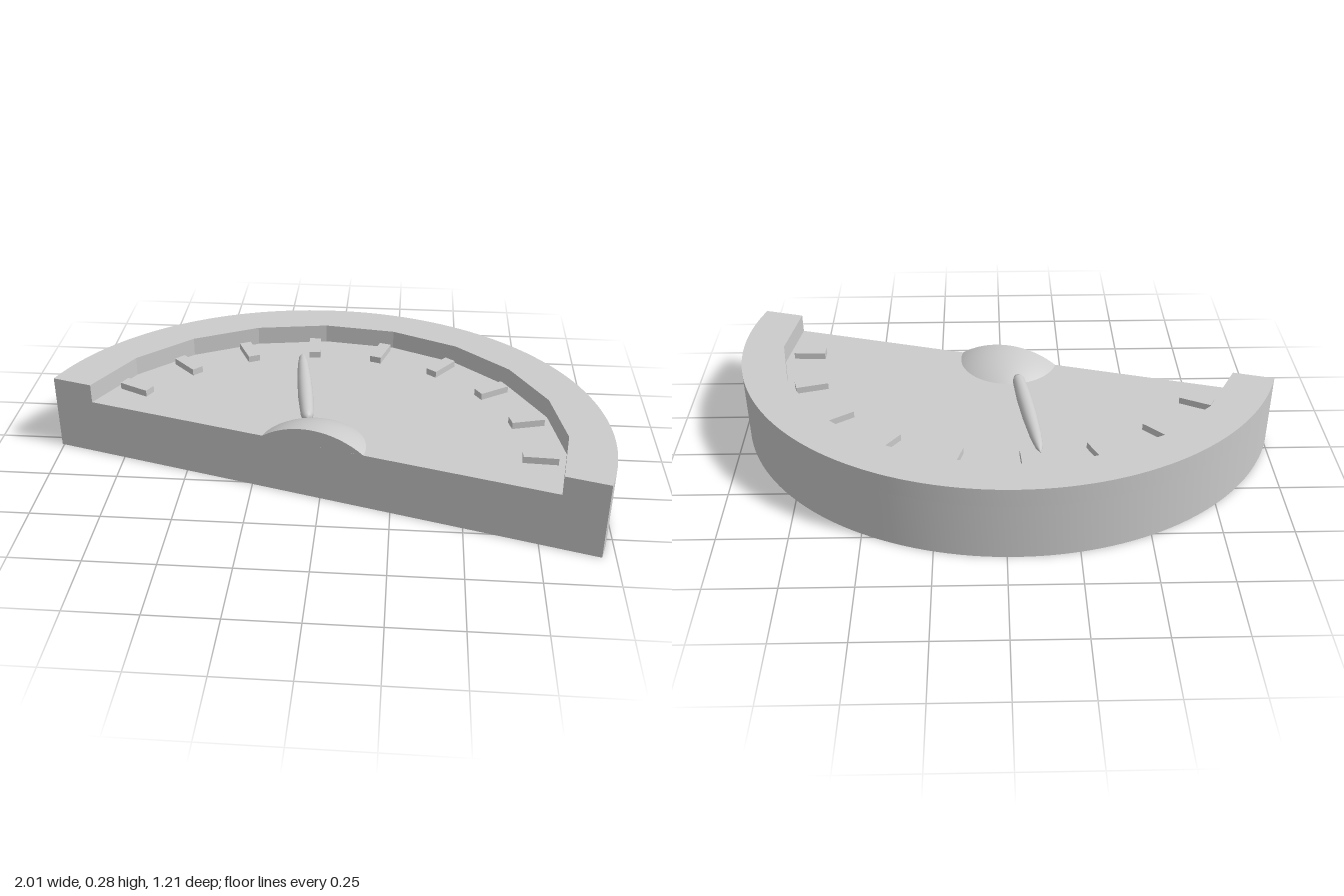
import * as THREE from 'three';
import { toCreasedNormals } from 'three/addons/utils/BufferGeometryUtils.js';

const FLOOR = 0.214, TOP = 0.285;
const CX = -0.027, CZ = 0.324;          // middle of the straight side
const RX = 1.027, RZ = 0.936;           // the half disc is slightly squashed
const START = -0.302;                   // tilt of the straight side, on the unit circle
const INNER = 0.85;

export function createModel() {
  const group = new THREE.Group();
  const material = new THREE.MeshStandardMaterial({ color: 0xcccccc });

  const add = (name, geometry, parent = group) => {
    const mesh = new THREE.Mesh(geometry, material);
    mesh.name = name;
    parent.add(mesh);
    return mesh;
  };

  // points along the half ellipse, from the right end to the left end
  const arc = (radius, steps) => Array.from({ length: steps + 1 }, (_, i) => {
    const a = START + Math.PI * i / steps;
    return new THREE.Vector2(CX + RX * radius * Math.cos(a), -CZ + RZ * radius * Math.sin(a));
  });

  const slab = (points, y0, y1) => {
    const g = new THREE.ExtrudeGeometry(new THREE.Shape(points), { depth: y1 - y0, bevelEnabled: false });
    g.rotateX(-Math.PI / 2).translate(0, y0, 0);
    return toCreasedNormals(g, 0.2);
  };

  // body, and raised rim with a ten-sided inner wall
  add('base', slab(arc(1, 80), 0, FLOOR));
  add('rim', slab([...arc(1, 80), ...arc(INNER, 10).reverse()], FLOOR, TOP));

  // half dome at the pivot, closed along the straight side
  const r = 0.187, h = 0.06, R = (r * r + h * h) / (2 * h);
  const theta = Math.asin(r / R);
  const hub = new THREE.Group();
  hub.name = 'hub';
  hub.position.set(CX, FLOOR - (R - h), CZ);
  hub.rotation.y = -0.276;
  group.add(hub);
  add('hubDome', new THREE.SphereGeometry(R, 32, 10, Math.PI, Math.PI, 0, theta), hub);
  const face = new THREE.Shape();
  face.absarc(0, 0, R, Math.PI / 2 - theta, Math.PI / 2 + theta, false);
  add('hubCutFace', new THREE.ShapeGeometry(face, 24), hub);

  // spindle-shaped needle lying on the dial
  const from = new THREE.Vector3(-0.057, 0.228, 0.165);
  const to = new THREE.Vector3(-0.123, 0.228, -0.332);
  const length = from.distanceTo(to);
  const profile = [[0, 0], [0.016, 0.01], [0.023, 0.05], [0.028, 0.3], [0.027, 0.55], [0.021, 0.8], [0.013, 0.93], [0, 1]]
    .map(([x, t]) => new THREE.Vector2(x, t * length));
  const needle = add('needle', new THREE.LatheGeometry(profile, 20));
  needle.position.copy(from);
  needle.quaternion.setFromUnitVectors(new THREE.Vector3(0, 1, 0), to.clone().sub(from).normalize());

  // nine plain raised scale marks pointing at the pivot
  for (let i = 0; i < 9; i++) {
    const a = THREE.MathUtils.degToRad(151.5 - 19.3 * i);
    const dx = RX * 0.76 * Math.cos(a), dz = -RZ * 0.76 * Math.sin(a);
    const mark = add('scaleMark' + (i + 1), new THREE.BoxGeometry(0.045, 0.03, 0.12));
    mark.position.set(CX + dx, FLOOR + 0.01, CZ + dz);
    mark.rotation.y = Math.atan2(dx, dz);
  }
  return group;
}
